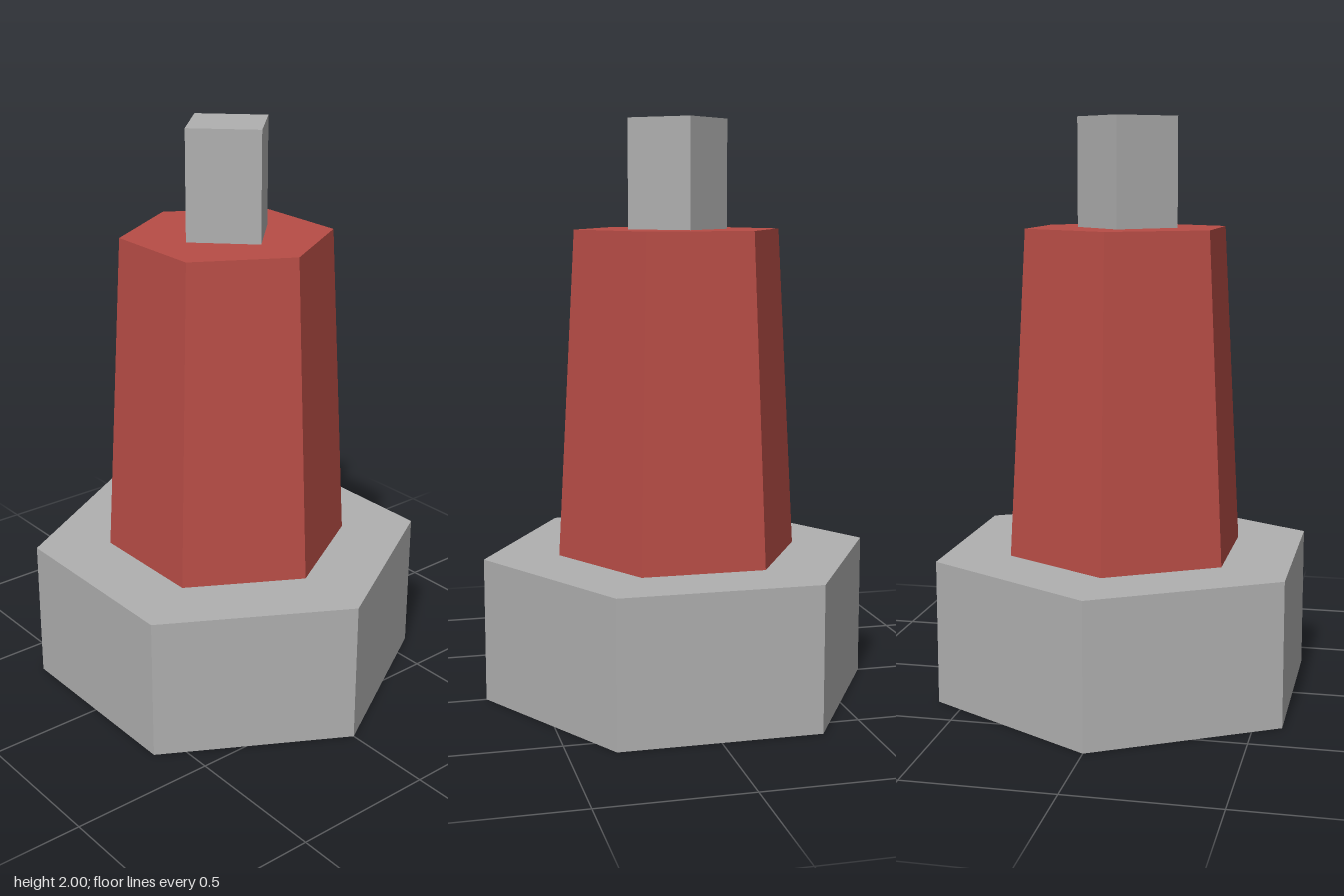
import * as THREE from 'three';

export function createModel() {
  const group = new THREE.Group();
  const grey = new THREE.MeshStandardMaterial({ color: 0xb0b0b0, flatShading: true });
  grey.name = 'grey metal';
  const red = new THREE.MeshStandardMaterial({ color: 0xb84d46, flatShading: true });
  red.name = 'red body';

  // Upright prism between two heights, with a corner on the x axis
  function prism(name, material, sides, bottomRadius, topRadius, y0, y1) {
    const geometry = new THREE.CylinderGeometry(
      topRadius, bottomRadius, y1 - y0, sides, 1, false, Math.PI / 2);
    const mesh = new THREE.Mesh(geometry, material);
    mesh.name = name;
    mesh.position.y = (y0 + y1) / 2;
    group.add(mesh);
  }

  prism('hexagonalBase', grey, 6, 0.687, 0.687, 0, 0.5);
  prism('taperedBody', red, 6, 0.425, 0.3625, 0.5, 1.625);
  prism('squareTip', grey, 4, 0.175, 0.175, 1.625, 2);

  return group;
}
